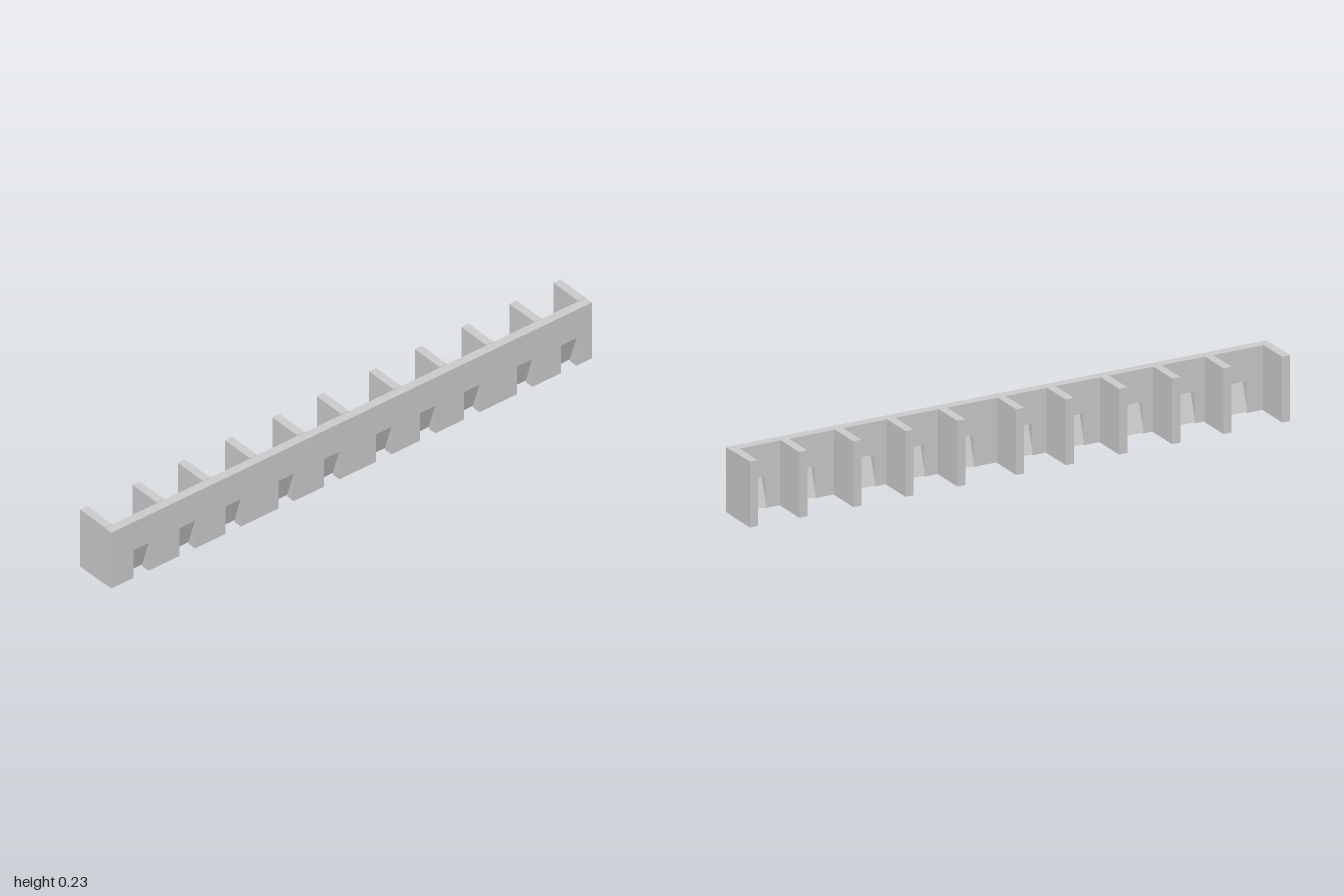
import * as THREE from 'three';

const FRONT = 0.08, INNER = 0.047, BACK = -0.08;
const FIN_X = [-0.985, -0.768, -0.578, -0.382, -0.184, 0, 0.217, 0.409, 0.602, 0.802, 0.985];
const NOTCH_X = [-0.877, -0.684, -0.493, -0.273, -0.083, 0.134, 0.316, 0.5, 0.72, 0.904];
const NOTCH_W = 0.064, NOTCH_TOP = 0.112;

export function createModel() {
  const group = new THREE.Group();
  const material = new THREE.MeshStandardMaterial({ color: 0xcccccc, flatShading: true });
  const add = (name, geometry) => {
    const mesh = new THREE.Mesh(geometry, material);
    mesh.name = name;
    group.add(mesh);
    return mesh;
  };

  // Long front wall with notches cut into its lower edge
  const y0 = 0.002, y1 = 0.225;
  const wall = new THREE.Shape();
  wall.moveTo(-1, y0);
  for (const x of NOTCH_X) {
    const a = x - NOTCH_W / 2, b = x + NOTCH_W / 2;
    wall.lineTo(a, y0);
    wall.lineTo(a, NOTCH_TOP);
    wall.lineTo(b, NOTCH_TOP);
    wall.lineTo(b, y0);
  }
  wall.lineTo(1, y0);
  wall.lineTo(1, y1);
  wall.lineTo(-1, y1);
  add('frontWall', new THREE.ExtrudeGeometry(wall, { depth: FRONT - INNER, bevelEnabled: false }))
    .position.z = INNER;

  // Divider fins behind the wall
  const fin = new THREE.BoxGeometry(0.03, 0.227, INNER - BACK);
  FIN_X.forEach((x, i) => {
    add('dividerFin' + (i + 1), fin).position.set(x, 0.1135, (INNER + BACK) / 2);
  });

  // Thin flap in each notch, leaning backwards towards its foot (profile drawn as -z, y)
  const profile = new THREE.Shape([
    [-FRONT, NOTCH_TOP], [-0.046, 0.008], [-0.041, 0.008], [-FRONT + 0.005, NOTCH_TOP],
  ].map(([x, y]) => new THREE.Vector2(x, y)));
  const flap = new THREE.ExtrudeGeometry(profile, { depth: NOTCH_W, bevelEnabled: false });
  flap.translate(0, 0, -NOTCH_W / 2);
  flap.rotateY(Math.PI / 2);
  NOTCH_X.forEach((x, i) => {
    add('notchFlap' + (i + 1), flap).position.x = x;
  });

  return group;
}
